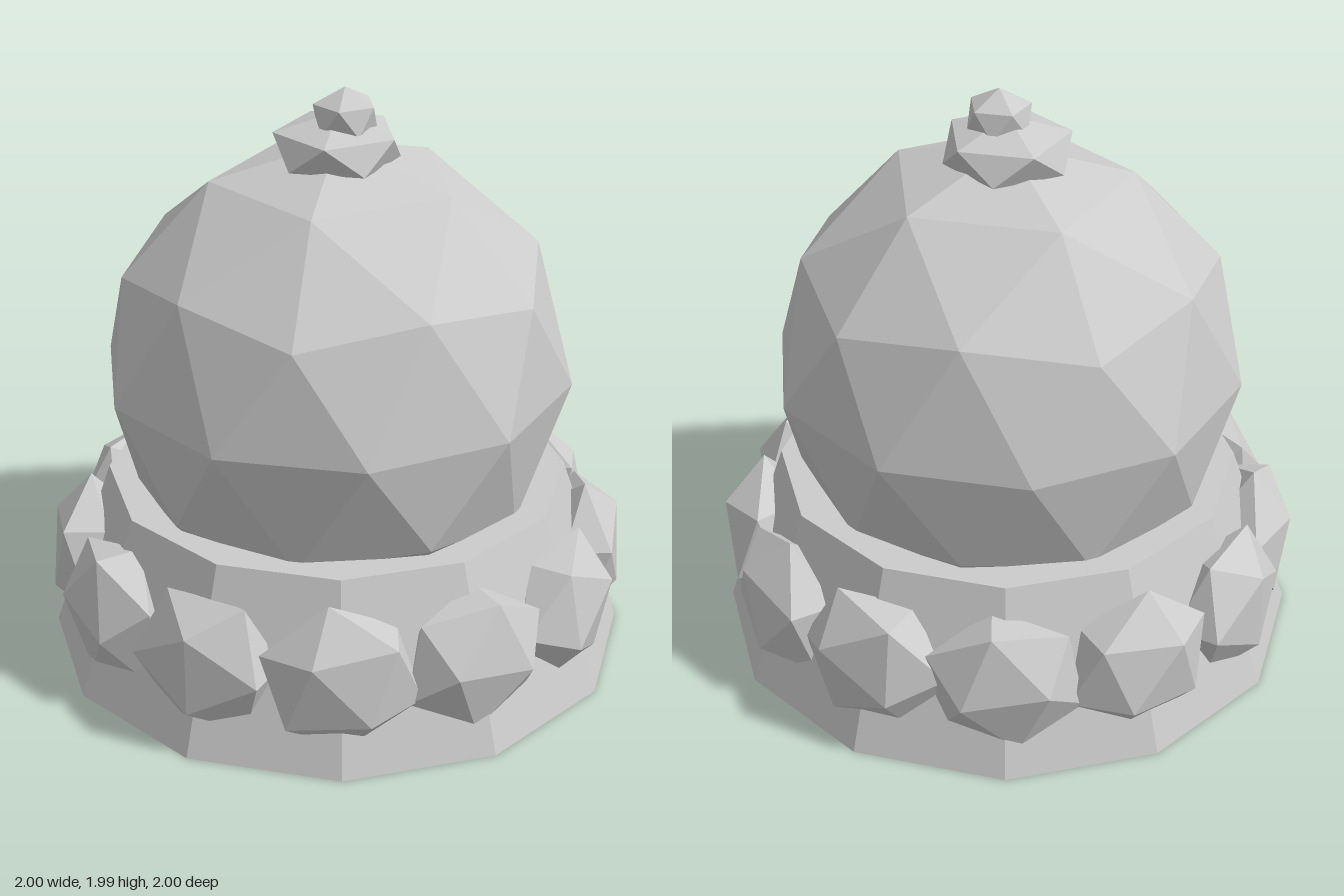
import * as THREE from 'three';

const material = new THREE.MeshStandardMaterial({ color: 0xcccccc, flatShading: true });

// Icosahedron stood on one of its corners, with an upper-ring corner toward +x
function uprightIco(radius, detail) {
  const tilt = Math.atan(2 / (1 + Math.sqrt(5)));
  return new THREE.IcosahedronGeometry(radius, detail).rotateZ(-tilt);
}

function addMesh(group, name, geometry) {
  const mesh = new THREE.Mesh(geometry, material);
  mesh.name = name;
  group.add(mesh);
  return mesh;
}

export function createModel() {
  const group = new THREE.Group();
  group.name = 'domedOrnament';

  // Tapered twelve-sided base whose top forms the collar
  const bottom = 0.015, top = 0.63;
  addMesh(group, 'base', new THREE.CylinderGeometry(0.79, 1.0, top - bottom, 12))
    .position.y = (top + bottom) / 2;

  // Faceted dome
  addMesh(group, 'dome', uprightIco(0.8, 1)).position.y = 1.01;

  // Two squashed knobs stacked on the dome
  const knobs = [
    { name: 'lowerKnob', ring: 0.21, half: 0.11, x: 0, y: 1.8 },
    { name: 'upperKnob', ring: 0.105, half: 0.1, x: 0.03, y: 1.9 },
  ];
  for (const k of knobs) {
    const r = k.ring / 0.894;
    addMesh(group, k.name, uprightIco(1, 0).scale(r, k.half, r)).position.set(k.x, k.y, 0);
  }

  // Band of flattened faceted puffs around the base
  const band = new THREE.Group();
  band.name = 'puffBand';
  const count = 12;
  for (let i = 0; i < count; i++) {
    const angle = (i / count) * Math.PI * 2;
    const geometry = new THREE.IcosahedronGeometry(1, 0)
      .rotateZ(i * 0.7)
      .scale(0.275, 0.265, 0.155);
    const puff = addMesh(band, 'puff', geometry);
    puff.position.set(Math.sin(angle) * 0.86, 0.315, Math.cos(angle) * 0.86);
    puff.rotation.y = angle;
  }
  group.add(band);

  return group;
}
